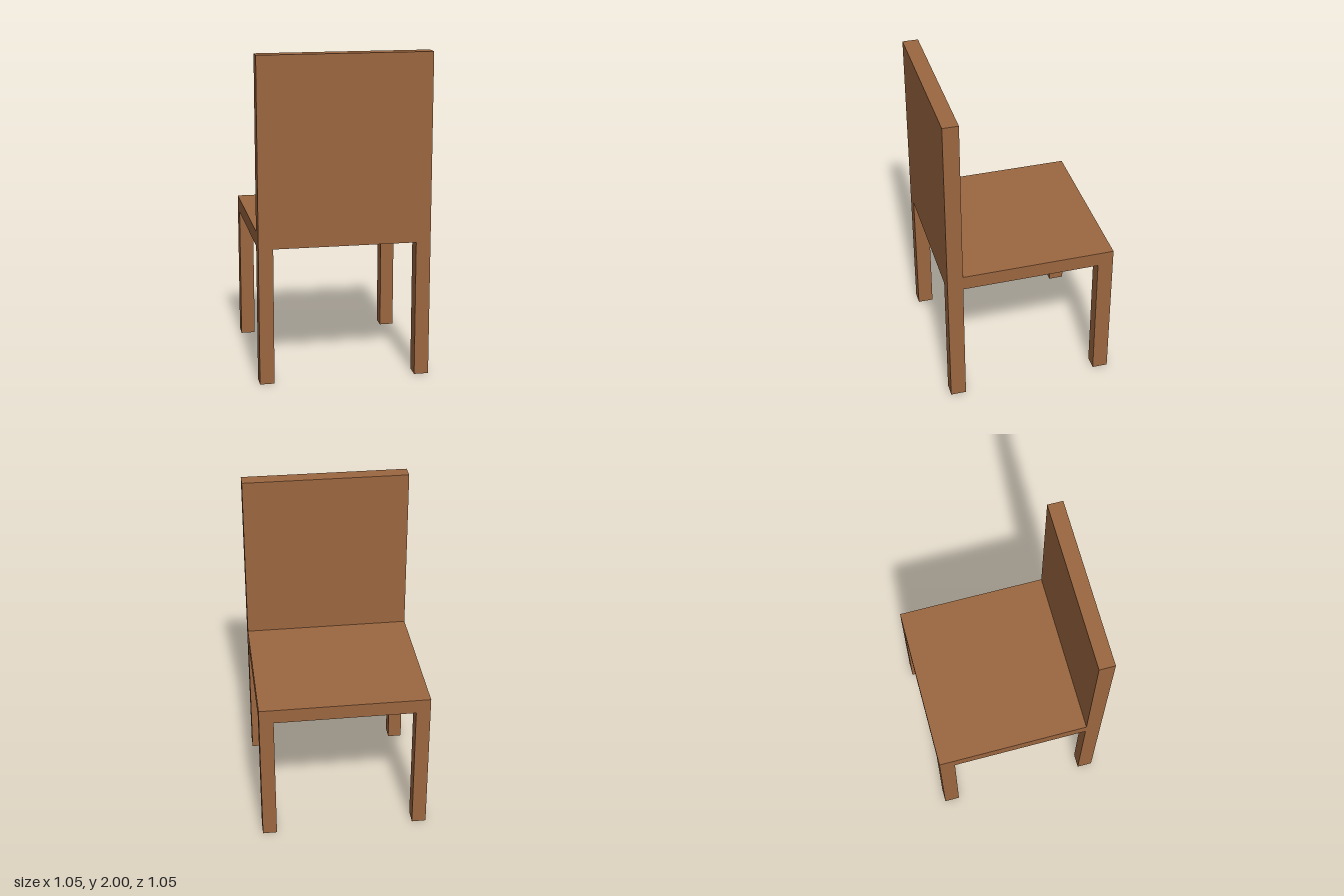
import * as THREE from 'three';

export function createModel() {
  const chair = new THREE.Group();
  chair.name = 'chair';
  const wood = new THREE.MeshStandardMaterial({ color: 0x9b6640 });
  wood.name = 'brown wood';

  const HALF = 0.526, LEG_W = 0.089, THICK = 0.097, UNDER = 0.846, SEAT_TOP = 0.937, TOP = 2;

  // Box given by its lowest and highest corners
  function block(name, min, max) {
    const size = max.map((v, i) => v - min[i]);
    const mesh = new THREE.Mesh(new THREE.BoxGeometry(...size), wood);
    mesh.position.set(...min.map((v, i) => v + size[i] / 2));
    mesh.name = name;
    chair.add(mesh);
  }

  // Seat slab and the backrest panel at its +z edge
  block('seat', [-HALF, UNDER, -HALF], [HALF, SEAT_TOP, HALF - THICK]);
  block('backrest', [-HALF, UNDER, HALF - THICK], [HALF, TOP, HALF]);

  // Four square legs, flush with the corners
  for (const [side, x] of [['Right', -HALF], ['Left', HALF - LEG_W]]) {
    for (const [end, z] of [['backrest', HALF - THICK], ['seat', -HALF]]) {
      block(`${end}Leg${side}`, [x, 0, z], [x + LEG_W, UNDER, z + THICK]);
    }
  }
  return chair;
}
